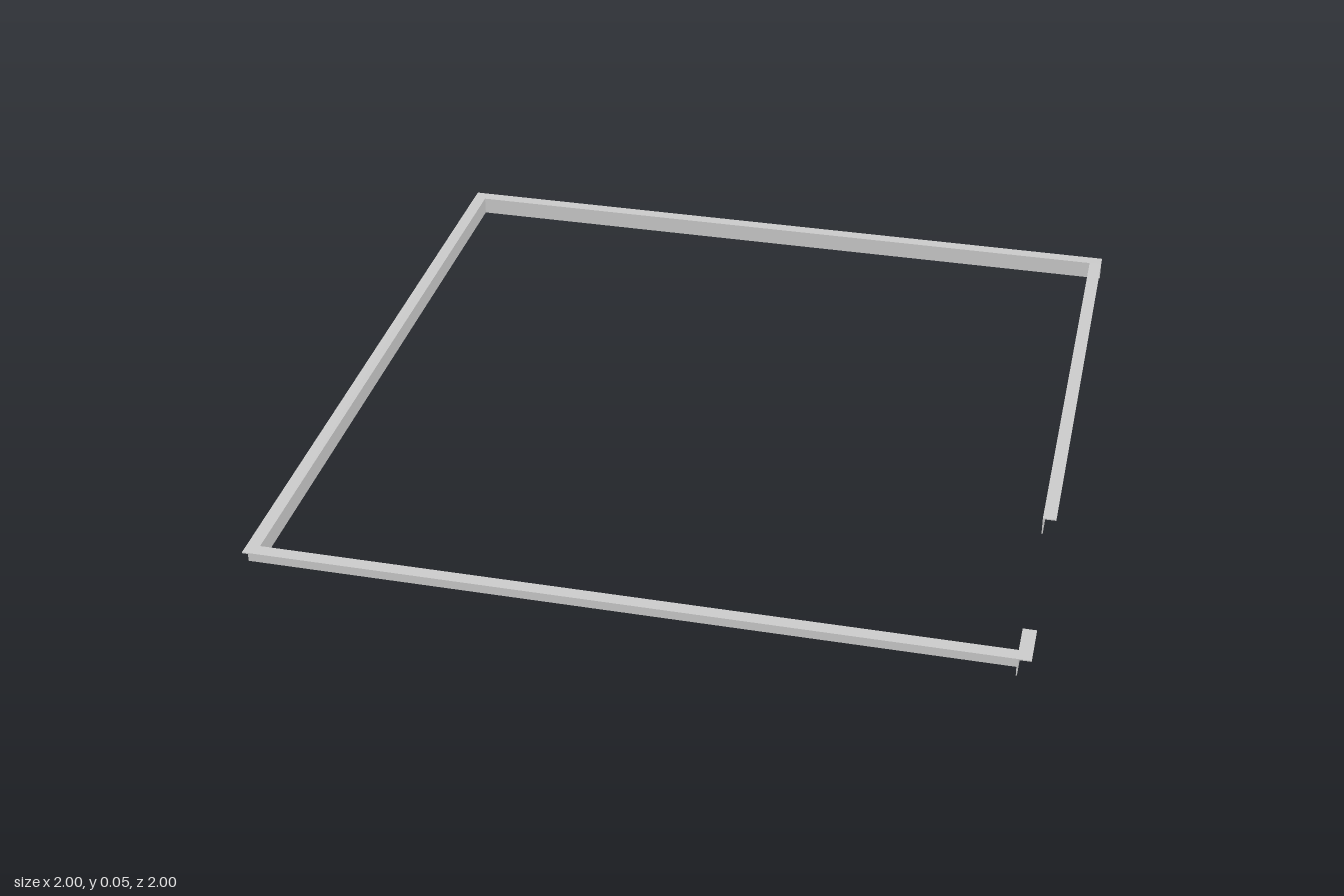
import * as THREE from 'three';

const WIDTH = 0.035;   // flange width
const HEIGHT = 0.05;   // leg height
const THICK = 0.003;   // sheet thickness

const material = new THREE.MeshStandardMaterial({ color: 0xcccccc, flatShading: true });

// L profile: leg on the inner edge (x = 0), flange on top reaching outward (+x)
function angleProfile() {
  return new THREE.Shape([
    [0, 0], [THICK, 0], [THICK, HEIGHT - THICK],
    [WIDTH, HEIGHT - THICK], [WIDTH, HEIGHT], [0, HEIGHT],
  ].map(([x, y]) => new THREE.Vector2(x, y)));
}

// One length of angle on the +x side, running from z0 to z1, turned to its side
function rail(name, z0, z1, turn) {
  const geometry = new THREE.ExtrudeGeometry(angleProfile(), {
    depth: z1 - z0, bevelEnabled: false,
  });
  geometry.translate(1 - WIDTH, 0, z0);
  geometry.rotateY(turn);
  const mesh = new THREE.Mesh(geometry, material);
  mesh.name = name;
  return mesh;
}

export function createModel() {
  const group = new THREE.Group();
  group.name = 'perimeterAngleFrame';
  const inner = 1 - WIDTH;

  // Each rail butts against the flange edge of the next, going round the square
  group.add(
    rail('leftRailLong', -inner, 0.41, 0),
    rail('leftRailStub', 0.88, 1, 0),      // short piece past the doorway gap
    rail('backRail', -inner, 1, Math.PI / 2),
    rail('rightRail', -inner, 1, Math.PI),
    rail('frontRail', -inner, 1, -Math.PI / 2),
  );
  return group;
}
